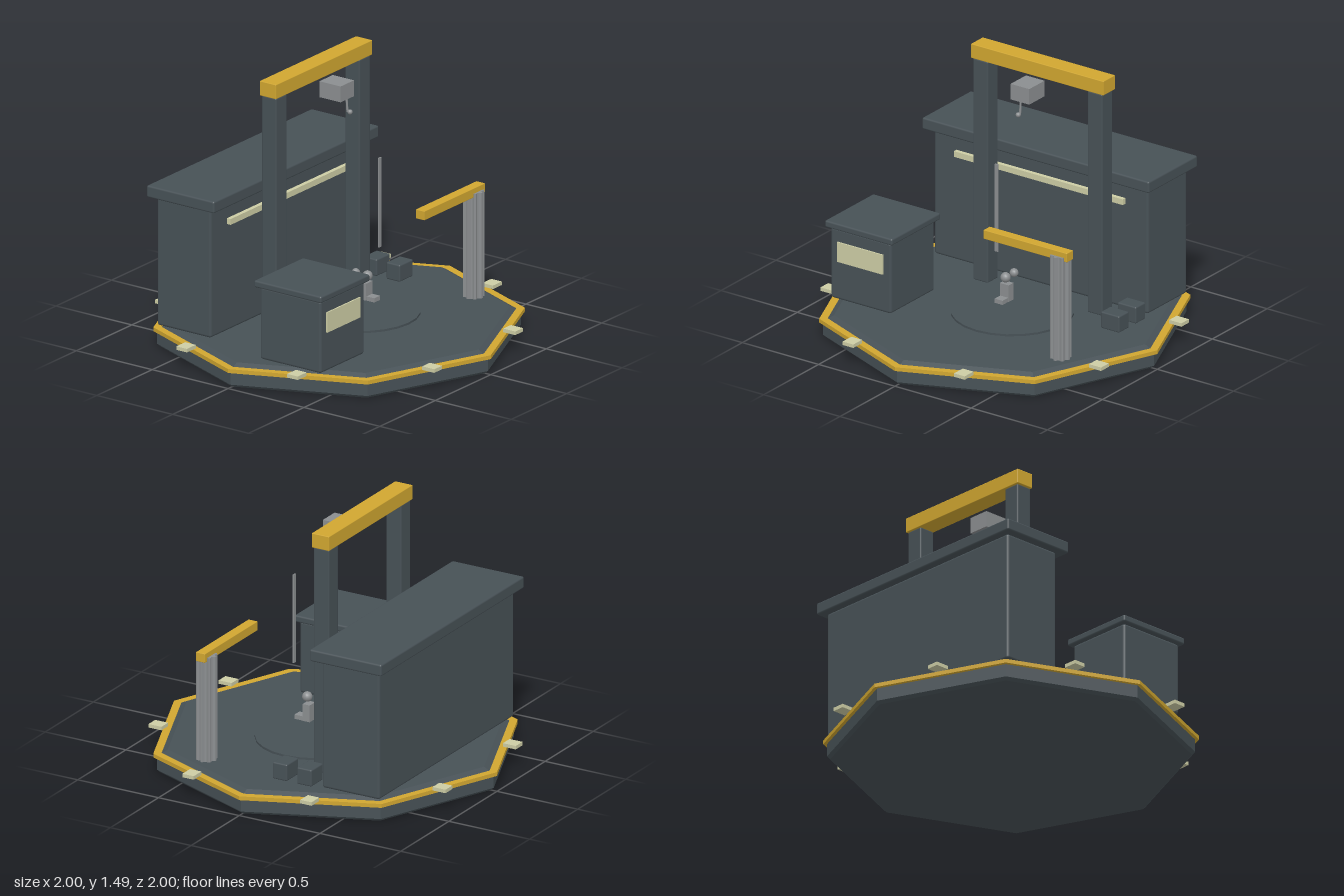
import * as THREE from 'three';
import { RoundedBoxGeometry } from 'three/addons/geometries/RoundedBoxGeometry.js';

const material = (name, color) => {
  const m = new THREE.MeshStandardMaterial({ color });
  m.name = name;
  return m;
};

export function createModel() {
  const model = new THREE.Group();
  model.name = 'workshopPlatform';
  const slate = material('darkSlate', 0x475156);
  const yellow = material('safetyYellow', 0xd0a630);
  const steel = material('steelGrey', 0x8b8e90);
  const cream = material('paleLamp', 0xcccca4);

  const add = (name, geometry, mat, x = 0, y = 0, z = 0, parent = model) => {
    const mesh = new THREE.Mesh(geometry, mat);
    mesh.name = name;
    mesh.position.set(x, y, z);
    parent.add(mesh);
    return mesh;
  };
  // Box given by its lower and upper corners, with an optional soft edge
  const box = (name, mat, [x0, y0, z0], [x1, y1, z1], edge = 0, parent = model) => {
    const size = [x1 - x0, y1 - y0, z1 - z0];
    const geometry = edge ? new RoundedBoxGeometry(...size, 2, edge) : new THREE.BoxGeometry(...size);
    return add(name, geometry, mat, (x0 + x1) / 2, (y0 + y1) / 2, (z0 + z1) / 2, parent);
  };
  const group = (name) => {
    const g = new THREE.Group();
    g.name = name;
    model.add(g);
    return g;
  };
  // Faceted eight-sided solid from a radius/height profile
  const octagon = (profile) => {
    const g = new THREE.LatheGeometry(profile.map(([r, y]) => new THREE.Vector2(r, y)), 8).toNonIndexed();
    g.computeVertexNormals();
    return g;
  };

  // Octagonal platform with a yellow rim
  add('platformBase', octagon([[0, 0], [0.962, 0], [0.98, 0.016], [0.98, 0.09], [0, 0.09]]), slate);
  add('platformRim', octagon([[0.94, 0.088], [1, 0.088], [1, 0.11], [0.955, 0.11], [0.94, 0.088]]), yellow);
  add('platformDeck', octagon([[0.955, 0.09], [0.955, 0.108], [0.92, 0.125], [0, 0.125]]), slate);
  add('turntable', new THREE.CylinderGeometry(0.33, 0.33, 0.012, 24), slate, 0.094, 0.131, 0.06);

  // Lamps at the middle of each rim side
  for (const sx of [-1, 1]) for (const sz of [-1, 1]) {
    add('rimLamp', new THREE.BoxGeometry(0.07, 0.02, 0.08), cream, sx * 0.365, 0.12, sz * 0.88);
    add('rimLamp', new THREE.BoxGeometry(0.08, 0.02, 0.07), cream, sx * 0.88, 0.12, sz * 0.365);
  }

  // Long cabinet at the back
  const cabinet = group('backCabinet');
  box('cabinetBody', slate, [-0.703, 0.125, -0.688], [0.7, 0.855, -0.332], 0.015, cabinet);
  box('cabinetRoof', slate, [-0.745, 0.853, -0.725], [0.742, 0.92, -0.28], 0.01, cabinet);
  box('cabinetLightStrip', cream, [-0.556, 0.73, -0.333], [0.552, 0.763, -0.308], 0, cabinet);

  // Control booth on the right-hand side
  const booth = group('controlBooth');
  box('boothBody', slate, [-0.806, 0.125, 0.067], [-0.41, 0.535, 0.468], 0.015, booth);
  box('boothRoof', slate, [-0.83, 0.533, 0.045], [-0.388, 0.572, 0.488], 0.01, booth);
  box('boothWindow', cream, [-0.757, 0.346, 0.467], [-0.458, 0.46, 0.476], 0, booth);

  // Gantry with hoist
  const gantry = group('gantry');
  for (const x of [-0.284, 0.467])
    box('gantryPost', slate, [x - 0.049, 0.125, -0.267], [x + 0.049, 1.407, -0.171], 0.008, gantry);
  box('gantryBeam', yellow, [-0.342, 1.407, -0.274], [0.527, 1.49, -0.166], 0.004, gantry);
  box('hoistBox', steel, [0.03, 1.315, -0.152], [0.152, 1.405, -0.012], 0, gantry);
  const hoistRod = add('hoistRod', new THREE.CylinderGeometry(0.006, 0.006, 0.075, 8), steel, 0.092, 1.283, -0.015, gantry);
  hoistRod.rotation.x = -0.08;
  add('hoistBall', new THREE.SphereGeometry(0.014, 12, 8), steel, 0.092, 1.247, 0.005, gantry);

  // Thin hanging blade over the turntable
  box('hangingBlade', steel, [0.081, 0.524, 0.197], [0.102, 1.03, 0.204]);

  // Small stepped fixture with two balls
  const fixture = group('centreFixture');
  box('fixtureBack', steel, [0.063, 0.214, 0.088], [0.121, 0.31, 0.132], 0, fixture);
  box('fixtureFoot', steel, [0.066, 0.214, 0.13], [0.118, 0.238, 0.184], 0, fixture);
  add('fixtureBall', new THREE.SphereGeometry(0.028, 14, 10), steel, 0.092, 0.346, 0.12, fixture);
  add('fixtureBall', new THREE.SphereGeometry(0.024, 14, 10), steel, 0.092, 0.346, 0.043, fixture);

  // Fluted column carrying the front barrier
  const barrier = group('frontBarrier');
  const star = new THREE.Shape();
  for (let i = 0; i < 32; i++) {
    const r = i % 4 < 2 ? 0.057 : 0.045;
    const a = ((i - 0.5) / 32) * Math.PI * 2;
    star[i ? 'lineTo' : 'moveTo'](r * Math.cos(a), r * Math.sin(a));
  }
  star.closePath();
  const column = new THREE.ExtrudeGeometry(star, { depth: 0.597, bevelEnabled: false });
  column.rotateX(-Math.PI / 2);
  add('barrierColumn', column, steel, 0.658, 0.125, 0.405, barrier);
  box('barrierArm', yellow, [0.174, 0.7, 0.378], [0.721, 0.752, 0.435], 0.003, barrier);

  // Two crates beside the gantry
  for (const z of [-0.236, -0.084])
    box('crate', slate, [0.6, 0.125, z - 0.045], [0.722, 0.22, z + 0.045], 0.008);

  return model;
}
